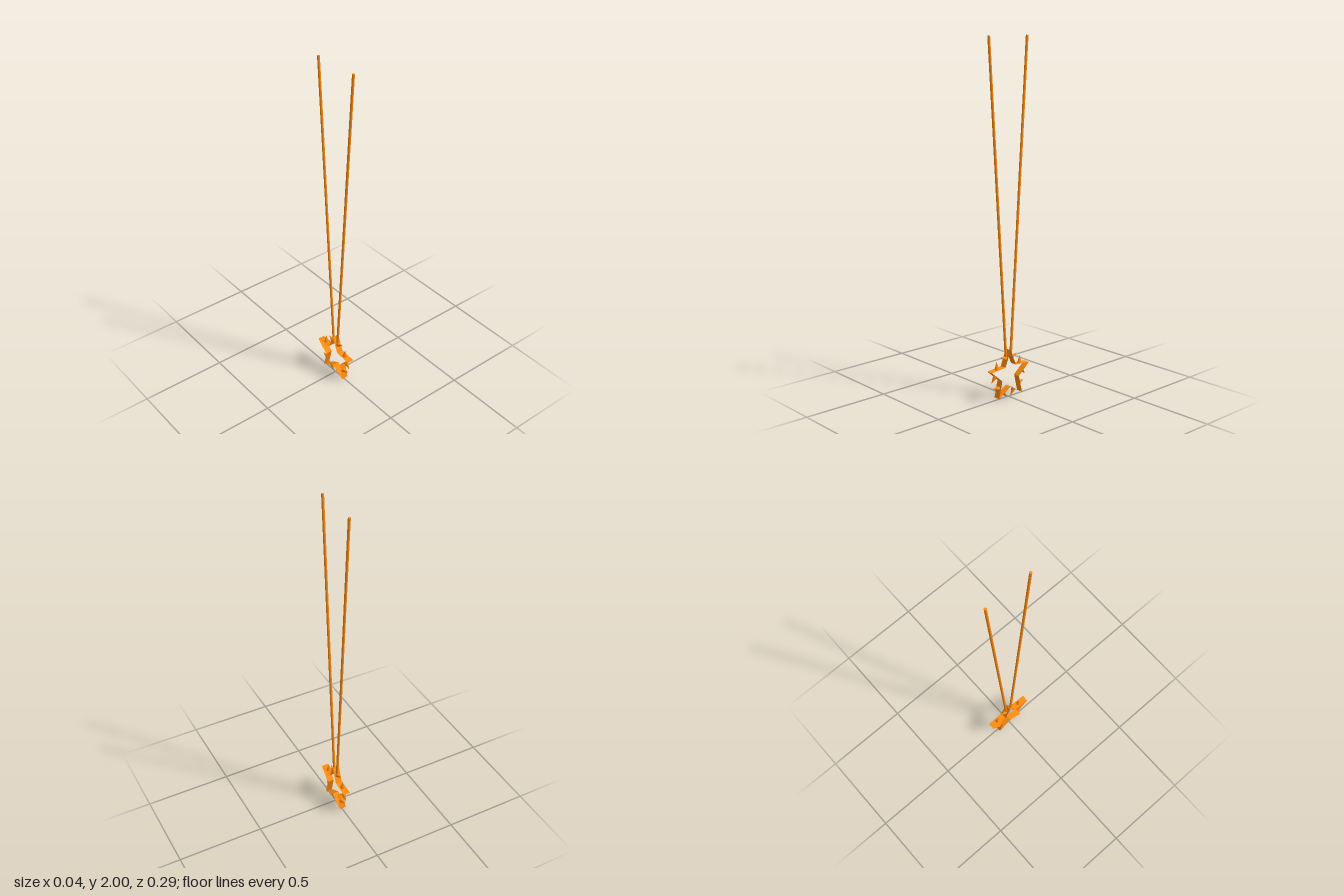
import * as THREE from 'three';

const OUTER = 0.147, INNER = 0.066, CENTRE_Y = 0.13, WIDTH = 0.04;

// Point of the star outline in the (z, y) plane, counted from the top tip
function starPoint(i) {
  const r = i % 2 ? INNER : OUTER, a = (i * Math.PI) / 5;
  return new THREE.Vector3(0, Math.cos(a) * r, Math.sin(a) * r);
}

export function createModel() {
  const model = new THREE.Group();
  const orange = new THREE.MeshStandardMaterial({ color: 0xff8c10 });
  const orangeFlat = new THREE.MeshStandardMaterial({ color: 0xff8c10, flatShading: true, side: THREE.DoubleSide });

  const star = new THREE.Group();
  star.name = 'star';
  star.position.y = CENTRE_Y;
  model.add(star);

  // Open star-shaped band: a ten-sided tube with every second edge pulled in
  let band = new THREE.CylinderGeometry(1, 1, WIDTH, 10, 1, true, Math.PI / 2);
  const pos = band.attributes.position;
  for (let i = 0; i < pos.count; i++) {
    const r = (i % 11) % 2 ? INNER : OUTER;
    pos.setXYZ(i, pos.getX(i) * r, pos.getY(i), pos.getZ(i) * r);
  }
  band = band.toNonIndexed().rotateZ(Math.PI / 2);
  band.computeVertexNormals();
  const bandMesh = new THREE.Mesh(band, orangeFlat);
  bandMesh.name = 'starBand';
  star.add(bandMesh);

  // One spike standing on each of the ten faces of the band
  const height = 0.045;
  const spikeGeo = new THREE.ConeGeometry(0.0134, height, 12).translate(0, height / 2, 0);
  const up = new THREE.Vector3(0, 1, 0);
  for (let i = 0; i < 10; i++) {
    const a = starPoint(i), b = starPoint(i + 1);
    const tip = i % 2 ? b : a, notch = i % 2 ? a : b;
    const edge = b.clone().sub(a).normalize();
    const normal = new THREE.Vector3(0, edge.z, -edge.y);
    const spike = new THREE.Mesh(spikeGeo, orange);
    spike.name = 'spike';
    spike.position.copy(notch).lerp(tip, 0.46);
    spike.quaternion.setFromUnitVectors(up, normal);
    star.add(spike);
  }

  // Two long rods spreading upwards from the top point
  for (const s of [1, -1]) {
    const from = new THREE.Vector3(0, 0.235, 0.0175 * s);
    const to = new THREE.Vector3(0, 1.9995, 0.1365 * s);
    const dir = to.clone().sub(from);
    const rod = new THREE.Mesh(new THREE.CylinderGeometry(0.0075, 0.0075, dir.length(), 10), orange);
    rod.name = s > 0 ? 'frontRod' : 'backRod';
    rod.position.copy(from).add(to).multiplyScalar(0.5);
    rod.quaternion.setFromUnitVectors(up, dir.normalize());
    model.add(rod);
  }
  return model;
}
